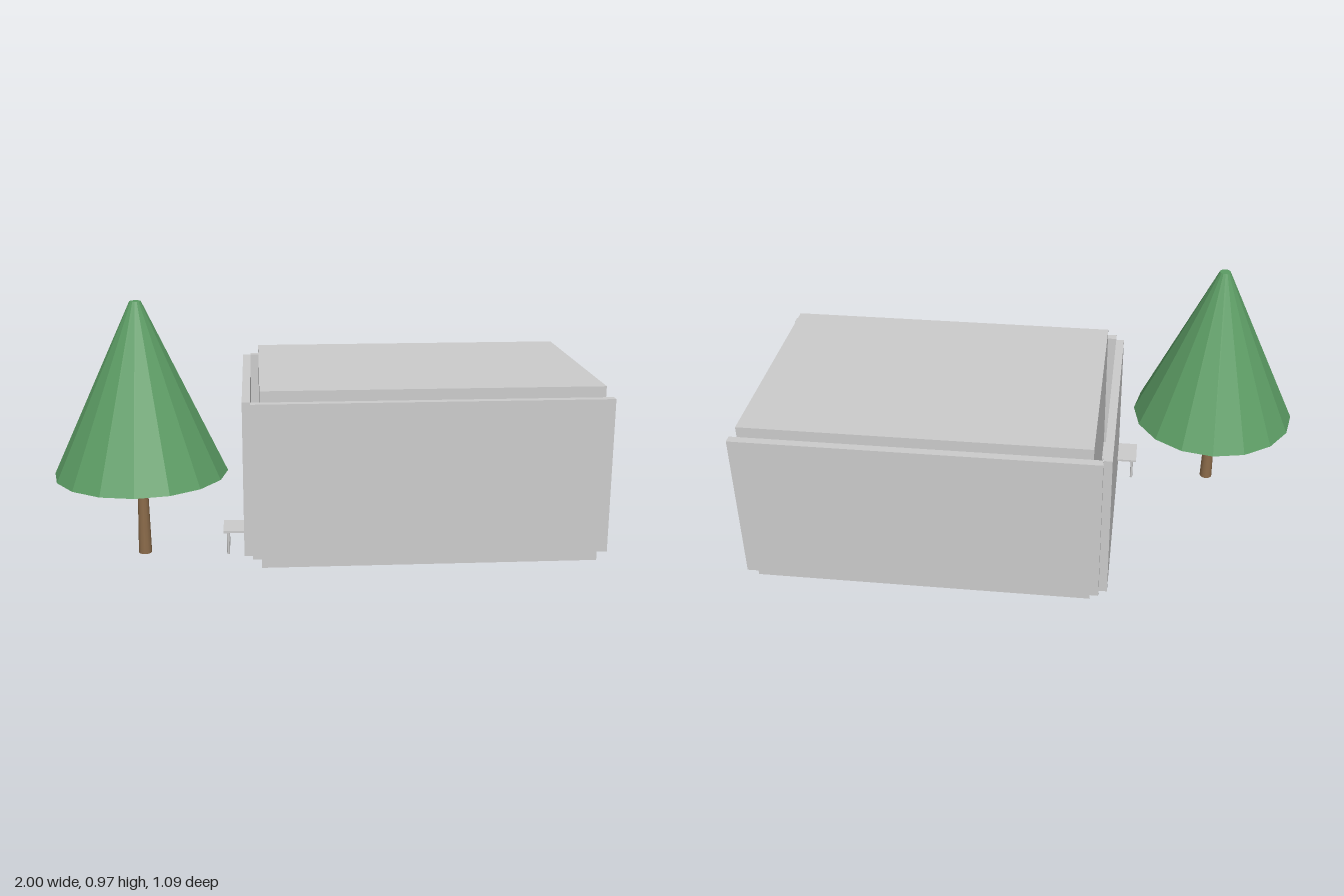
import * as THREE from 'three';

const material = (name, color) => {
  const m = new THREE.MeshStandardMaterial({ color });
  m.name = name;
  return m;
};

export function createModel() {
  const model = new THREE.Group();
  const grey = material('pale grey', 0xcccccc);
  const green = material('leaf green', 0x5c9c64);
  const brown = material('bark brown', 0x8b6b4a);
  green.flatShading = true;

  const add = (name, geometry, mat, parent = model) => {
    const mesh = new THREE.Mesh(geometry, mat);
    mesh.name = name;
    parent.add(mesh);
    return mesh;
  };
  // Box given by its lower and upper limits on each axis
  const box = (name, [x0, x1], [y0, y1], [z0, z1], parent) =>
    add(name, new THREE.BoxGeometry(x1 - x0, y1 - y0, z1 - z0), grey, parent)
      .position.set((x0 + x1) / 2, (y0 + y1) / 2, (z0 + z1) / 2);

  // Building block with cladding panels on front, back and one end
  const building = new THREE.Group();
  building.name = 'building';
  model.add(building);
  const wallY = [0.045, 0.62];
  box('buildingBlock', [-0.267, 0.967], [0, 0.66], [-0.514, 0.31], building);
  box('frontPanel', [-0.3, 0.995], wallY, [0.311, 0.341], building);
  box('backPanel', [-0.3, 0.995], wallY, [-0.545, -0.515], building);
  box('endPanel', [-0.33, -0.3], wallY, [-0.518, 0.305], building);

  // Bench reaching out from under the end panel
  const bench = new THREE.Group();
  bench.name = 'bench';
  model.add(bench);
  box('benchSeat', [-0.405, -0.2], [0.13, 0.138], [0.175, 0.292], bench);
  for (const x of [-0.388, -0.217]) {
    for (const z of [0.19, 0.277]) {
      add('benchLeg', new THREE.CylinderGeometry(0.005, 0.005, 0.085, 8), grey, bench)
        .position.set(x, 0.0875, z);
    }
  }

  // Conifer: tapering trunk and blunt cone crown
  const tree = new THREE.Group();
  tree.name = 'tree';
  tree.position.set(-0.692, 0, 0.238);
  model.add(tree);
  add('trunk', new THREE.CylinderGeometry(0.017, 0.024, 0.31, 12), brown, tree)
    .position.y = 0.2;
  add('crown', new THREE.CylinderGeometry(0.02, 0.308, 0.618, 16), green, tree)
    .position.y = 0.662;

  return model;
}
